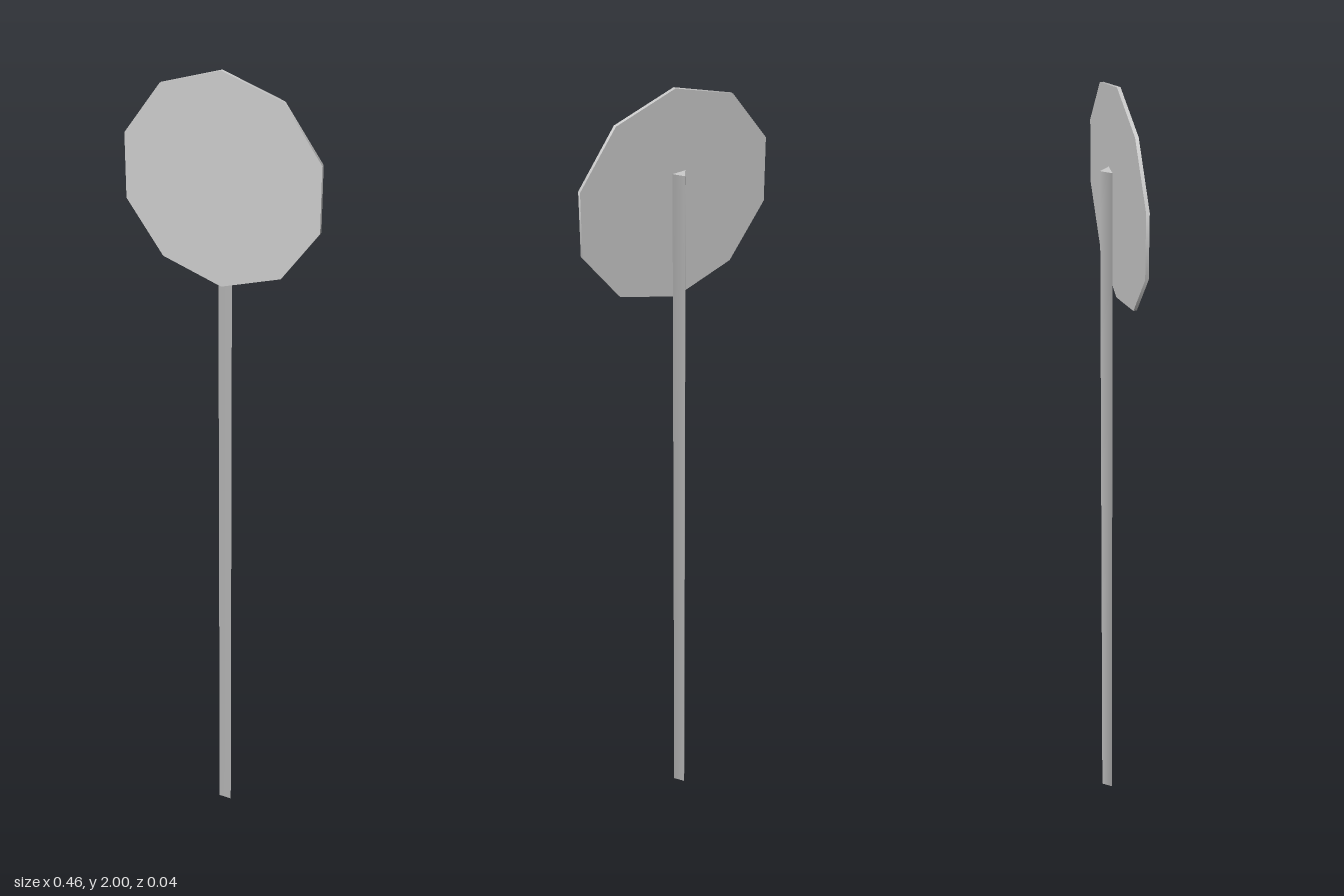
import * as THREE from 'three';

export function createModel() {
  const group = new THREE.Group();
  const material = new THREE.MeshStandardMaterial({ color: 0xcccccc });

  const add = (name, geometry) => {
    const mesh = new THREE.Mesh(geometry, material);
    mesh.name = name;
    group.add(mesh);
  };

  // Three-sided post, flat side to the front and one edge to the back
  const postHeight = 1.82;
  const post = new THREE.CylinderGeometry(0.0191, 0.0191, postHeight, 3, 1, false, Math.PI);
  post.scale(1, 1, 0.8).translate(0, postHeight / 2, -0.0067);
  add('post', post);

  // Thin ten-sided sign plate just in front of the post, a corner at the top
  const radius = 0.243;
  const plate = new THREE.CylinderGeometry(radius, radius, 0.0075, 10);
  plate.rotateX(Math.PI / 2).translate(0, 2 - radius, 0.0178);
  add('signPlate', plate);

  return group;
}
